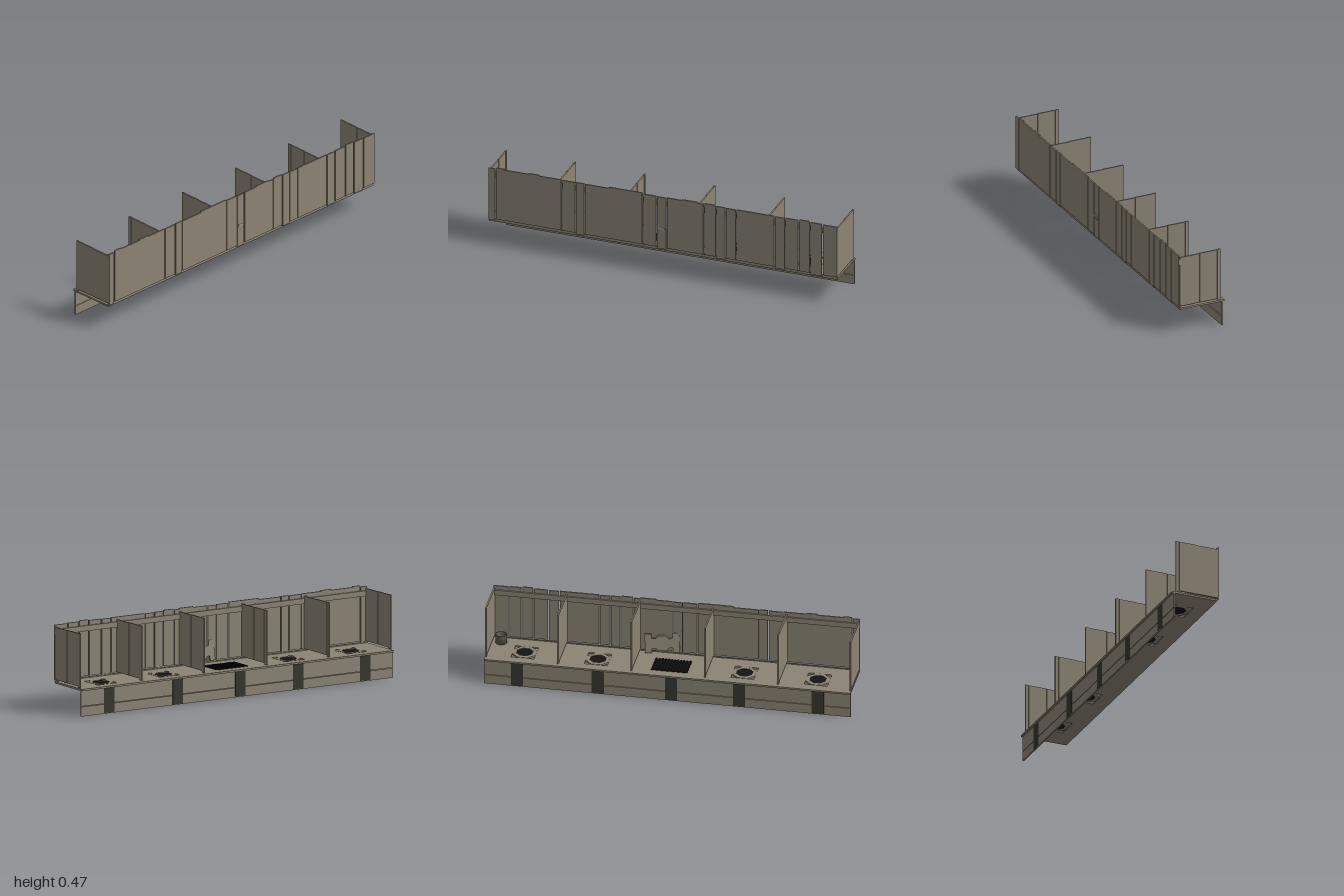
import * as THREE from 'three';

export function createModel() {
  const mat = (name, color) => {
    const m = new THREE.MeshStandardMaterial({ color });
    m.name = name;
    return m;
  };
  const wood = mat('weathered wood', 0x8c8475);
  const strapMat = mat('dark strap', 0x35362f);
  const black = mat('black iron', 0x141414);
  const potMat = mat('pot metal', 0x5c5950);
  potMat.side = THREE.DoubleSide;

  const model = new THREE.Group();
  model.name = 'plankStall';

  // box given by its limits on each axis
  const box = (name, x0, x1, y0, y1, z0, z1, material = wood, parent = model) => {
    const m = new THREE.Mesh(new THREE.BoxGeometry(x1 - x0, y1 - y0, z1 - z0), material);
    m.position.set((x0 + x1) / 2, (y0 + y1) / 2, (z0 + z1) / 2);
    m.name = name;
    parent.add(m);
    return m;
  };

  const rectHole = (x0, x1, y0, y1) => {
    const p = new THREE.Path();
    p.moveTo(x0, y0);
    p.lineTo(x0, y1);
    p.lineTo(x1, y1);
    p.lineTo(x1, y0);
    p.closePath();
    return p;
  };

  // octagon with flat sides square to the axes
  const octagon = (Type, r) => {
    const s = new Type();
    for (let i = 0; i < 8; i++) {
      const a = (i + 0.5) * Math.PI / 4;
      s[i ? 'lineTo' : 'moveTo'](r * Math.cos(a), r * Math.sin(a));
    }
    s.closePath();
    return s;
  };

  // counter board with square cut-outs
  const burnerX = [-0.8, -0.4, 0.4, 0.8];
  const board = new THREE.Shape();
  board.moveTo(-1, -0.125);
  board.lineTo(1, -0.125);
  board.lineTo(1, 0.14);
  board.lineTo(-1, 0.14);
  board.closePath();
  for (const x of burnerX) board.holes.push(rectHole(x - 0.063, x + 0.063, -0.045, 0.085));
  const counterGeo = new THREE.ExtrudeGeometry(board, { depth: 0.01, bevelEnabled: false });
  counterGeo.rotateX(-Math.PI / 2);
  const counter = new THREE.Mesh(counterGeo, wood);
  counter.position.y = 0.14;
  counter.name = 'counter';
  model.add(counter);

  // octagonal rings with dark cores
  const ring = octagon(THREE.Shape, 0.068);
  ring.holes.push(octagon(THREE.Path, 0.047));
  const ringGeo = new THREE.ExtrudeGeometry(ring, { depth: 0.01, bevelEnabled: false });
  for (const x of burnerX) {
    const burner = new THREE.Group();
    burner.name = 'burner';
    burner.position.set(x, 0.141, -0.02);
    const rim = new THREE.Mesh(ringGeo, wood);
    rim.rotation.x = -Math.PI / 2;
    rim.name = 'burnerRim';
    burner.add(rim);
    const core = new THREE.Mesh(new THREE.CylinderGeometry(0.048, 0.048, 0.007, 8), black);
    core.rotation.y = Math.PI / 8;
    core.position.y = 0.004;
    core.name = 'burnerCore';
    burner.add(core);
    model.add(burner);
  }

  // central grill
  box('grillPlate', -0.1, 0.1, 0.149, 0.152, -0.085, 0.045, black);
  for (let i = 0; i < 12; i++) {
    const x = -0.092 + i * 0.0167;
    box('grillBar', x - 0.004, x + 0.004, 0.151, 0.156, -0.085, 0.045, black);
  }

  // rear apron planks and straps
  box('lowerApron', -1, 1, 0, 0.052, -0.131, -0.123);
  box('upperApron', -1, 1, 0.055, 0.14, -0.131, -0.123);
  for (const x of [-0.82, -0.39, -0.02, 0.38, 0.82])
    box('apronStrap', x - 0.033, x + 0.033, 0.004, 0.138, -0.133, -0.13, strapMat);

  // dividers, each of three upright planks
  for (const x of [-0.995, -0.6, -0.2, 0.2, 0.6, 0.995]) {
    const d = new THREE.Group();
    d.name = 'divider';
    box('dividerPlank', x - 0.004, x + 0.004, 0.16, 0.447, 0.007, 0.125, wood, d);
    box('dividerPlank', x - 0.004, x + 0.004, 0.16, 0.449, -0.097, 0.005, wood, d);
    box('dividerPlank', x - 0.004, x + 0.004, 0.152, 0.45, -0.118, -0.099, wood, d);
    model.add(d);
  }

  // front wall of uneven planks
  const seams = [-1, -0.96, -0.58, -0.5, -0.45, -0.115, -0.035, 0.02, 0.235, 0.305,
    0.36, 0.42, 0.64, 0.7, 0.78, 0.845, 0.915, 1];
  for (let i = 0; i < seams.length - 1; i++) {
    const x0 = seams[i] + (i ? 0.003 : 0);
    const x1 = seams[i + 1] - (i < seams.length - 2 ? 0.003 : 0);
    box('wallPlank', x0, x1, i % 3 ? 0.159 : 0.151, 0.458 + (i % 2) * 0.002, 0.126, 0.134);
  }
  for (const [a, b] of [[-0.955, -0.91], [-0.77, -0.71], [-0.31, -0.12], [0.11, 0.2], [0.24, 0.3], [0.785, 0.84]])
    box('plankTip', a, b, 0.456, 0.465, 0.126, 0.134);
  box('wallRail', -1, 1, 0.405, 0.435, 0.118, 0.126);
  box('wallFootRail', -1, 1, 0.15, 0.156, 0.12, 0.126);

  // open pot on the counter
  const profile = [[0, 0.004], [0.026, 0.004], [0.028, 0.05], [0.032, 0.05], [0.031, 0], [0, 0]]
    .map(([r, y]) => new THREE.Vector2(r, y)).reverse();
  const pot = new THREE.Mesh(new THREE.LatheGeometry(profile, 12), potMat);
  pot.position.set(0.945, 0.15, 0.065);
  pot.name = 'pot';
  model.add(pot);

  // loose lid panel leaning on the wall
  const lid = new THREE.Group();
  lid.name = 'looseLid';
  lid.position.set(0.075, 0.213, 0.108);
  lid.rotation.set(0.12, 0.14, -0.06);
  for (const s of [-1, 1]) {
    box('lidSide', s * 0.075 - 0.018, s * 0.075 + 0.018, -0.055, 0.055, -0.004, 0.004, wood, lid);
    box('lidBridge', s * 0.05 - 0.012, s * 0.05 + 0.012, -0.028, 0.028, -0.004, 0.004, wood, lid);
  }
  const disc = new THREE.Mesh(new THREE.CylinderGeometry(0.048, 0.048, 0.014, 8), wood);
  disc.rotation.set(Math.PI / 2, Math.PI / 8, 0);
  disc.name = 'lidDisc';
  lid.add(disc);
  model.add(lid);

  // splinter poking through the wall
  const splinter = box('splinter', -0.03, 0.012, 0.265, 0.28, 0.128, 0.137);
  splinter.rotation.set(-0.2, 0, -0.2);

  return model;
}
